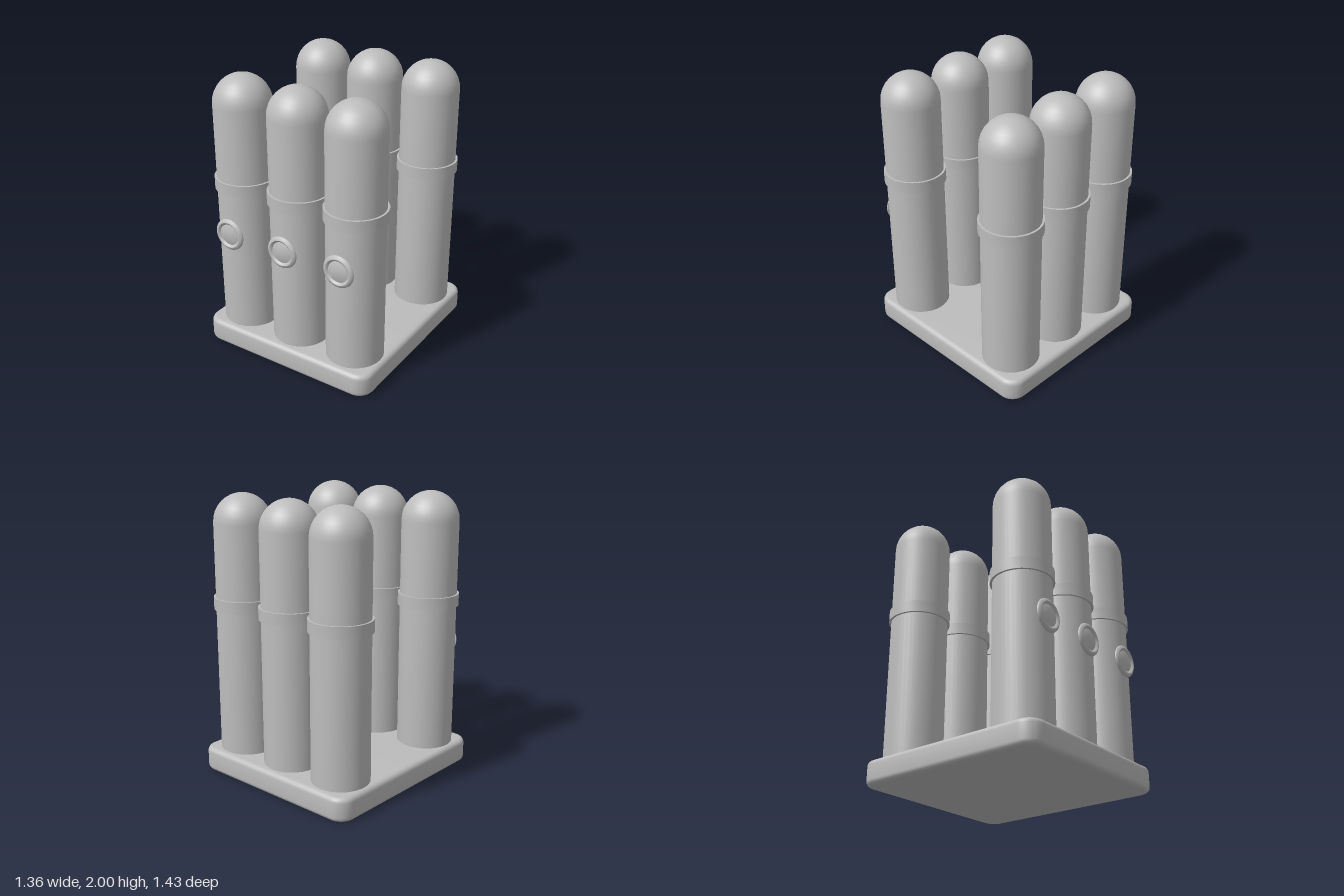
import * as THREE from 'three';
import { toCreasedNormals } from 'three/addons/utils/BufferGeometryUtils.js';

const grey = new THREE.MeshStandardMaterial({ color: 0xbcbcbc });
grey.name = 'plain grey';

const BASE_TOP = 0.172, RADIUS = 0.2, SPACING = 0.445, ROW_Z = 0.467;

// Revolve a profile of [radius, height] pairs, listed from bottom to top
function revolve(profile, segments) {
  const points = profile.map(([r, h]) => new THREE.Vector2(r, h));
  return toCreasedNormals(new THREE.LatheGeometry(points, segments), 0.6);
}

// Rounded slab with softened top and bottom edges
function baseGeometry() {
  const bevel = 0.035, w = 0.68 - bevel, d = 0.716 - bevel, r = 0.075;
  const shape = new THREE.Shape();
  shape.absarc(w - r, d - r, r, 0, Math.PI / 2);
  shape.absarc(-w + r, d - r, r, Math.PI / 2, Math.PI);
  shape.absarc(-w + r, -d + r, r, Math.PI, Math.PI * 1.5);
  shape.absarc(w - r, -d + r, r, Math.PI * 1.5, Math.PI * 2);
  const geometry = new THREE.ExtrudeGeometry(shape, {
    depth: BASE_TOP - 2 * bevel, bevelSize: bevel, bevelThickness: bevel,
    bevelSegments: 5, curveSegments: 8,
  });
  geometry.rotateX(-Math.PI / 2).translate(0, bevel, 0);
  return toCreasedNormals(geometry, 0.6);
}

// Tube with a hemispherical top
function tubeGeometry() {
  const profile = [[0, BASE_TOP - 0.01], [RADIUS, BASE_TOP - 0.01]];
  for (let i = 0; i <= 8; i++) {
    const a = (i / 8) * Math.PI / 2;
    profile.push([i === 8 ? 0 : RADIUS * Math.cos(a), 1.8 + RADIUS * Math.sin(a)]);
  }
  return revolve(profile, 40);
}

export function createModel() {
  const model = new THREE.Group();
  model.name = 'tubeRack';

  const add = (name, geometry, parent) => {
    const mesh = new THREE.Mesh(geometry, grey);
    mesh.name = name;
    parent.add(mesh);
    return mesh;
  };

  const tube = tubeGeometry();
  const band = revolve([[0.195, 1.2], [0.215, 1.2], [0.215, 1.285], [0.195, 1.285]], 40);
  // Round badge with a raised rim and a domed centre, facing +z
  const button = revolve([
    [0, 0], [0.105, 0], [0.115, 0.006], [0.113, 0.014], [0.103, 0.023],
    [0.092, 0.027], [0.082, 0.022], [0.076, 0.014], [0.058, 0.02],
    [0.03, 0.026], [0, 0.028],
  ], 32).rotateX(Math.PI / 2);

  add('base', baseGeometry(), model);

  // Two rows of three tubes; only the front row carries buttons
  for (const z of [ROW_Z, -ROW_Z]) {
    for (const x of [-SPACING, 0, SPACING]) {
      const column = new THREE.Group();
      column.name = z > 0 ? 'frontColumn' : 'backColumn';
      column.position.set(x, 0, z);
      add('tube', tube, column);
      add('band', band, column);
      if (z > 0) add('button', button, column).position.set(0, 0.905, RADIUS - 0.004);
      model.add(column);
    }
  }
  return model;
}
